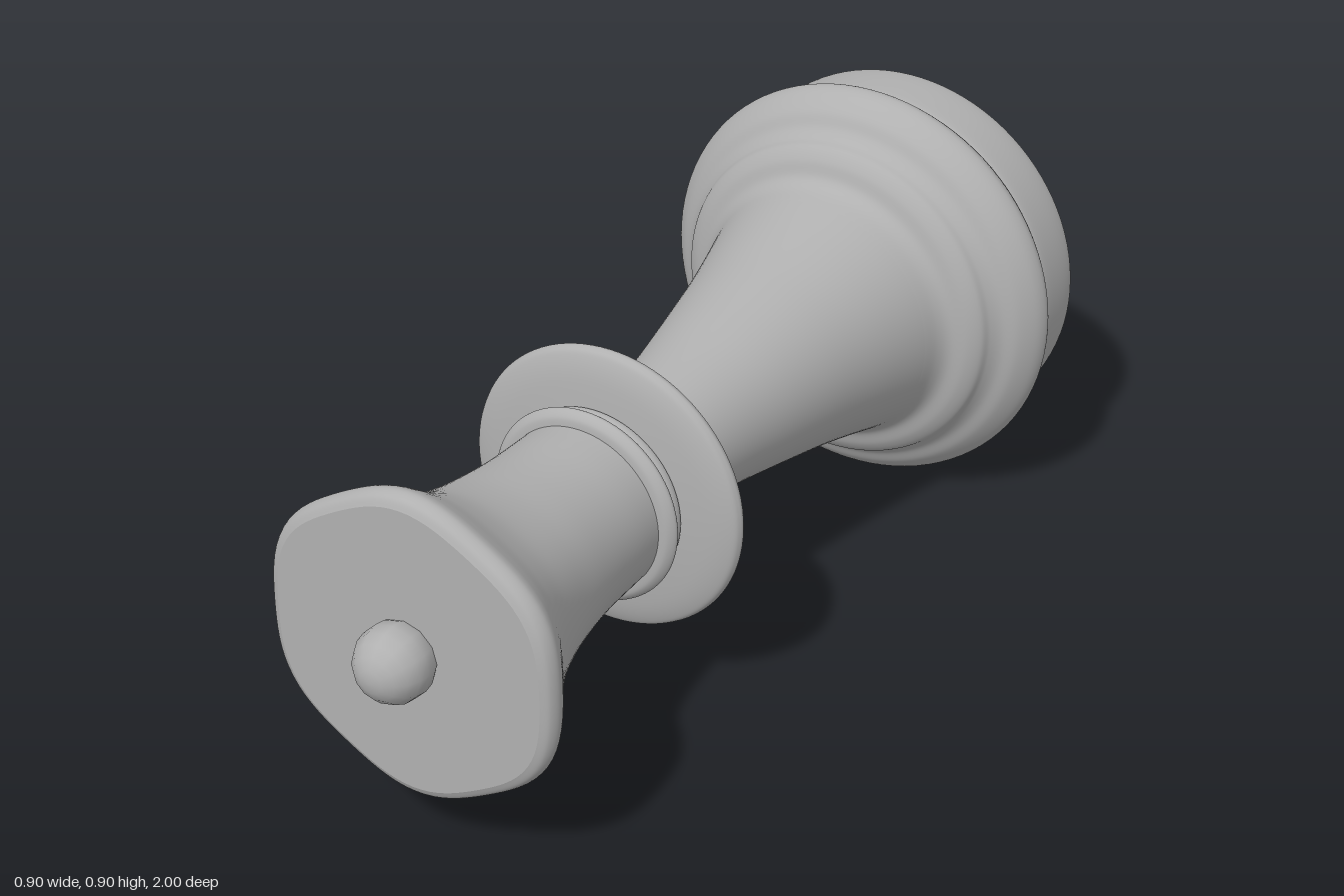
import * as THREE from 'three';
import { mergeVertices } from 'three/addons/utils/BufferGeometryUtils.js';

const AXIS_Y = 0.452;

export function createModel() {
  const group = new THREE.Group();
  const grey = new THREE.MeshStandardMaterial({ color: 0xb0b0b0 });
  grey.name = 'plain grey';

  const add = (name, geometry) => {
    const mesh = new THREE.Mesh(geometry, grey);
    mesh.name = name;
    mesh.position.y = AXIS_Y;
    group.add(mesh);
    return mesh;
  };

  // Turned part: [radius, z] pairs from back to front, optionally smoothed
  const turn = (profile, smooth = 0, sides = 96) => {
    let points = profile.map(([r, z]) => new THREE.Vector2(r, z));
    if (smooth) points = new THREE.SplineCurve(points).getPoints(smooth);
    return new THREE.LatheGeometry(points, sides).rotateX(Math.PI / 2);
  };

  // Six shallow scallops that fade in towards the rim of the crown
  const scallop = (geometry) => {
    geometry.deleteAttribute('uv');
    geometry.deleteAttribute('normal');
    const p = geometry.attributes.position;
    for (let i = 0; i < p.count; i++) {
      const x = p.getX(i), y = p.getY(i);
      const fade = THREE.MathUtils.smoothstep(p.getZ(i), 0.45, 0.84);
      const k = 1 + 0.02 * fade * Math.cos(6 * Math.atan2(x, y));
      p.setXY(i, x * k, y * k);
    }
    const merged = mergeVertices(geometry, 1e-5);
    merged.computeVertexNormals();
    return merged;
  };

  // Foot of the piece
  add('baseBottom', turn([[0, -1], [0.385, -1]]));
  add('baseDrum', turn([[0.385, -1], [0.403, -0.995], [0.413, -0.98], [0.417, -0.95],
    [0.418, -0.9], [0.417, -0.86], [0.412, -0.843]], 40));
  add('baseStep', turn([[0.405, -0.843], [0.422, -0.842]]));
  add('baseMoulding', turn([[0.422, -0.842], [0.436, -0.822], [0.449, -0.8], [0.451, -0.782],
    [0.441, -0.758], [0.415, -0.728], [0.385, -0.71], [0.368, -0.69], [0.358, -0.668],
    [0.335, -0.65], [0.302, -0.637], [0.284, -0.615], [0.272, -0.58]], 80));

  // Tapered stem
  add('stem', turn([[0.272, -0.58], [0.25, -0.5], [0.225, -0.4], [0.204, -0.3], [0.184, -0.2],
    [0.165, -0.1], [0.15, 0], [0.141, 0.08], [0.137, 0.18]], 48));

  // Wide collar disc and the two thin rings in front of it
  add('collarBack', turn([[0.13, 0.172], [0.19, 0.174], [0.25, 0.187], [0.292, 0.2],
    [0.304, 0.212], [0.304, 0.223], [0.292, 0.235], [0.25, 0.247], [0.17, 0.256]], 60));
  add('neckRing', turn([[0.172, 0.25], [0.189, 0.256], [0.193, 0.266], [0.189, 0.277],
    [0.178, 0.281]], 24));
  add('neckBand', turn([[0.178, 0.281], [0.198, 0.285], [0.208, 0.296], [0.206, 0.305],
    [0.194, 0.315], [0.176, 0.318]], 30));

  // Flared crown with a rounded rim and flat top
  add('crown', scallop(turn([[0.178, 0.312], [0.179, 0.36], [0.182, 0.44], [0.19, 0.52],
    [0.205, 0.61], [0.23, 0.695], [0.265, 0.765], [0.302, 0.82], [0.317, 0.845],
    [0.32, 0.862], [0.312, 0.879], [0.296, 0.888]], 70)));
  add('crownTop', scallop(turn([[0.296, 0.888], [0.15, 0.889], [0, 0.889]])));

  // Small faceted-outline ball on the crown
  add('finial', new THREE.SphereGeometry(0.078, 12, 10).rotateX(Math.PI / 2)).position.z = 0.922;

  return group;
}
